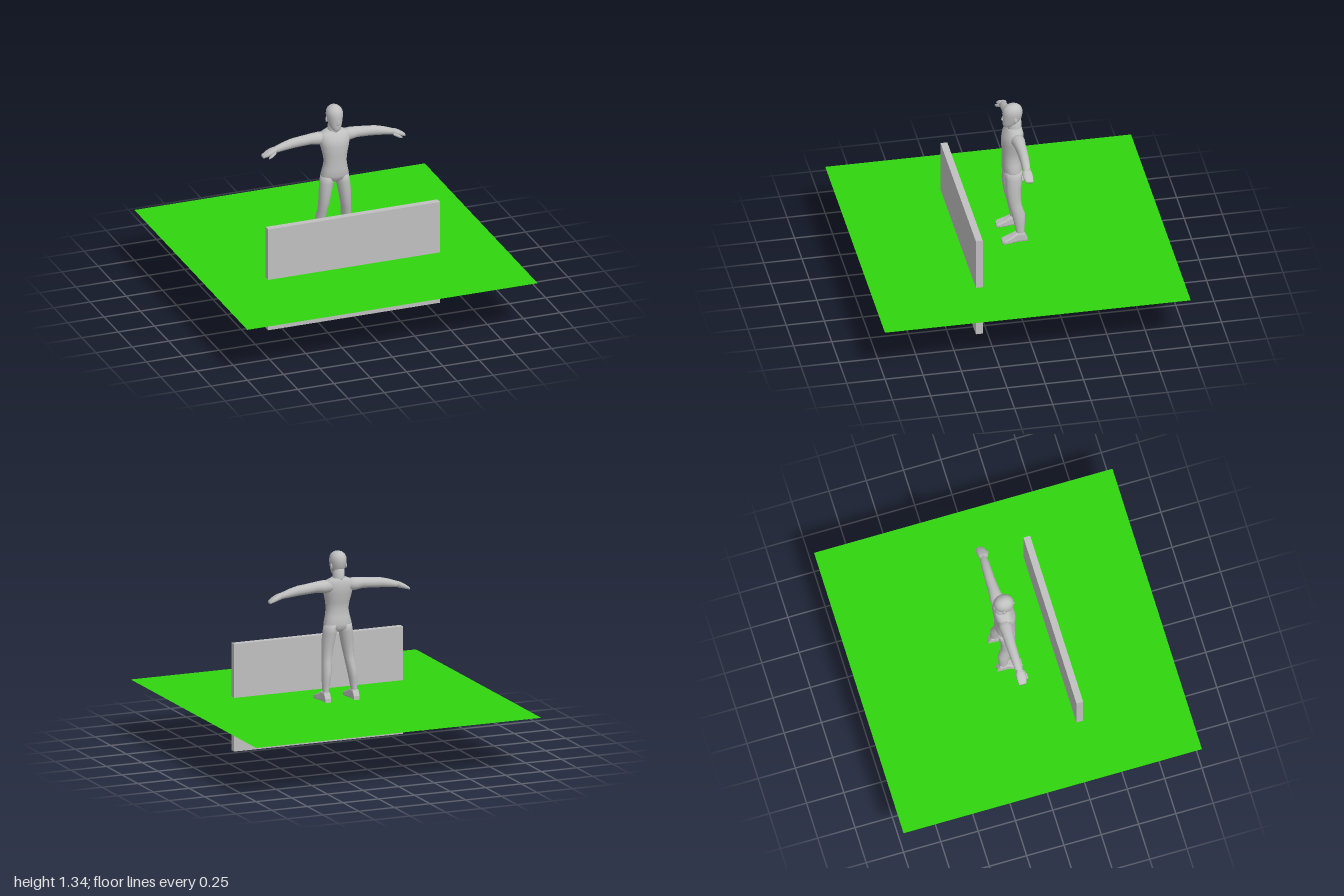
import * as THREE from 'three';

const grey = new THREE.MeshStandardMaterial({ color: 0xc0c0c0 });
grey.name = 'grey';
const green = new THREE.MeshStandardMaterial({ color: 0x30d60f, side: THREE.DoubleSide });
green.name = 'grass green';

// Skins rings [t, c1, c2, r1, r2] stacked along an axis; side -1 mirrors in x.
function loft(name, axis, rings, { side = 1, seg = 16, power = 1, flat = false } = {}) {
  const pos = [], idx = [];
  const flip = (axis !== 'y') !== (side < 0);
  const put = (t, u, v) => {
    const p = axis === 'y' ? [u, t, v] : axis === 'x' ? [t, u, v] : [u, v, t];
    pos.push(p[0] * side, p[1], p[2]);
  };
  const tri = (a, b, c) => (flip ? idx.push(a, c, b) : idx.push(a, b, c));
  const soft = (k) => Math.sign(k) * Math.abs(k) ** power;
  for (const [t, c1, c2, r1, r2] of rings) {
    for (let j = 0; j < seg; j++) {
      const a = ((j + 0.5) / seg) * Math.PI * 2;
      put(t, c1 + r1 * soft(Math.cos(a)), c2 + r2 * soft(Math.sin(a)));
    }
  }
  const n = rings.length;
  for (let i = 0; i < n - 1; i++) {
    for (let j = 0; j < seg; j++) {
      const k = (j + 1) % seg, a = i * seg, b = a + seg;
      tri(a + j, b + j, a + k);
      tri(a + k, b + j, b + k);
    }
  }
  // end caps
  const first = rings[0], last = rings[n - 1], m = n * seg;
  put(first[0], first[1], first[2]);
  put(last[0], last[1], last[2]);
  for (let j = 0; j < seg; j++) {
    const k = (j + 1) % seg, e = (n - 1) * seg;
    tri(m, j, k);
    tri(m + 1, e + k, e + j);
  }
  let g = new THREE.BufferGeometry();
  g.setAttribute('position', new THREE.Float32BufferAttribute(pos, 3));
  g.setIndex(idx);
  if (flat) g = g.toNonIndexed();
  g.computeVertexNormals();
  const mesh = new THREE.Mesh(g, grey);
  mesh.name = name;
  return mesh;
}

function blob(name, x, y, z, sx, sy, sz) {
  const mesh = new THREE.Mesh(new THREE.SphereGeometry(1, 10, 8), grey);
  mesh.position.set(x, y, z);
  mesh.scale.set(sx, sy, sz);
  mesh.name = name;
  return mesh;
}

function createFigure() {
  const figure = new THREE.Group();
  figure.name = 'figure';

  // trunk from crotch to collar
  figure.add(loft('torso', 'y', [
    [0.815, 0, -0.03, 0.03, 0.035],
    [0.835, 0, -0.028, 0.088, 0.055],
    [0.865, 0, -0.024, 0.094, 0.064],
    [0.91, 0, -0.02, 0.083, 0.06],
    [0.96, 0, -0.016, 0.075, 0.056],
    [1.01, 0, -0.02, 0.082, 0.061],
    [1.07, 0, -0.026, 0.096, 0.07],
    [1.12, 0, -0.032, 0.105, 0.067],
    [1.15, 0, -0.042, 0.095, 0.05],
    [1.168, 0, -0.045, 0.05, 0.042],
  ], { seg: 20, power: 0.9 }));

  figure.add(loft('neck', 'y', [
    [1.14, 0, -0.045, 0.048, 0.045],
    [1.17, 0, -0.043, 0.038, 0.046],
    [1.23, 0, -0.04, 0.036, 0.045],
  ]));

  // skull and jaw
  figure.add(loft('head', 'y', [
    [1.179, 0, 0.012, 0.016, 0.017],
    [1.19, 0, 0.002, 0.03, 0.032],
    [1.21, 0, -0.018, 0.041, 0.054],
    [1.24, 0, -0.026, 0.049, 0.062],
    [1.275, 0, -0.029, 0.054, 0.066],
    [1.3, 0, -0.03, 0.053, 0.063],
    [1.32, 0, -0.031, 0.044, 0.053],
    [1.333, 0, -0.032, 0.029, 0.036],
    [1.34, 0, -0.033, 0.01, 0.012],
  ], { seg: 20 }));
  figure.add(loft('nose', 'y', [
    [1.225, 0, 0.032, 0.01, 0.009],
    [1.233, 0, 0.035, 0.009, 0.011],
    [1.265, 0, 0.032, 0.004, 0.004],
  ], { seg: 6 }));

  for (const side of [1, -1]) {
    const label = side > 0 ? 'left' : 'right';
    figure.add(blob(label + 'Ear', side * 0.051, 1.243, -0.04, 0.006, 0.02, 0.012));

    // arm held out, sloping down to the hand
    figure.add(loft(label + 'Arm', 'x', [
      [0.06, 1.115, -0.045, 0.04, 0.045],
      [0.11, 1.117, -0.047, 0.042, 0.044],
      [0.16, 1.119, -0.048, 0.036, 0.037],
      [0.23, 1.113, -0.05, 0.034, 0.033],
      [0.29, 1.108, -0.049, 0.033, 0.031],
      [0.35, 1.097, -0.047, 0.028, 0.028],
      [0.41, 1.083, -0.044, 0.02, 0.024],
    ], { side, seg: 12 }));
    figure.add(loft(label + 'Hand', 'x', [
      [0.4, 1.085, -0.044, 0.02, 0.024],
      [0.43, 1.076, -0.043, 0.02, 0.033],
      [0.46, 1.064, -0.044, 0.016, 0.032],
      [0.488, 1.05, -0.046, 0.009, 0.024],
    ], { side, seg: 10, power: 0.75 }));
    figure.add(loft(label + 'Thumb', 'x', [
      [0.405, 1.073, -0.024, 0.011, 0.011],
      [0.435, 1.058, -0.01, 0.011, 0.01],
      [0.458, 1.047, -0.007, 0.006, 0.006],
    ], { side, seg: 8 }));

    // leg from ankle to hip
    figure.add(loft(label + 'Leg', 'y', [
      [0.38, 0.1, -0.066, 0.021, 0.028],
      [0.43, 0.099, -0.06, 0.021, 0.027],
      [0.5, 0.094, -0.056, 0.028, 0.037],
      [0.56, 0.087, -0.05, 0.032, 0.044],
      [0.62, 0.08, -0.032, 0.032, 0.042],
      [0.67, 0.074, -0.025, 0.036, 0.045],
      [0.74, 0.066, -0.022, 0.042, 0.05],
      [0.81, 0.056, -0.027, 0.046, 0.056],
      [0.86, 0.05, -0.028, 0.042, 0.058],
    ], { side, seg: 12 }));

    // wedge foot with a flat sole
    figure.add(loft(label + 'Foot', 'z', [
      [-0.105, 0.1, 0.373, 0.02, 0.013],
      [-0.085, 0.1, 0.393, 0.023, 0.033],
      [-0.035, 0.1, 0.393, 0.025, 0.033],
      [0.01, 0.102, 0.381, 0.034, 0.021],
      [0.045, 0.104, 0.373, 0.036, 0.013],
      [0.06, 0.102, 0.369, 0.028, 0.009],
    ], { side, seg: 12, power: 0.4, flat: true }));
  }
  return figure;
}

export function createModel() {
  const model = new THREE.Group();

  // ground sheet, level with the soles
  const ground = new THREE.Mesh(new THREE.PlaneGeometry(2, 2), green);
  ground.rotation.x = -Math.PI / 2;
  ground.position.y = 0.355;
  ground.name = 'ground';
  model.add(ground);

  // wall passing through the ground
  const wall = new THREE.Mesh(new THREE.BoxGeometry(1.185, 0.71, 0.045), grey);
  wall.position.set(-0.002, 0.355, 0.303);
  wall.name = 'wall';
  model.add(wall);

  model.add(createFigure());
  return model;
}
